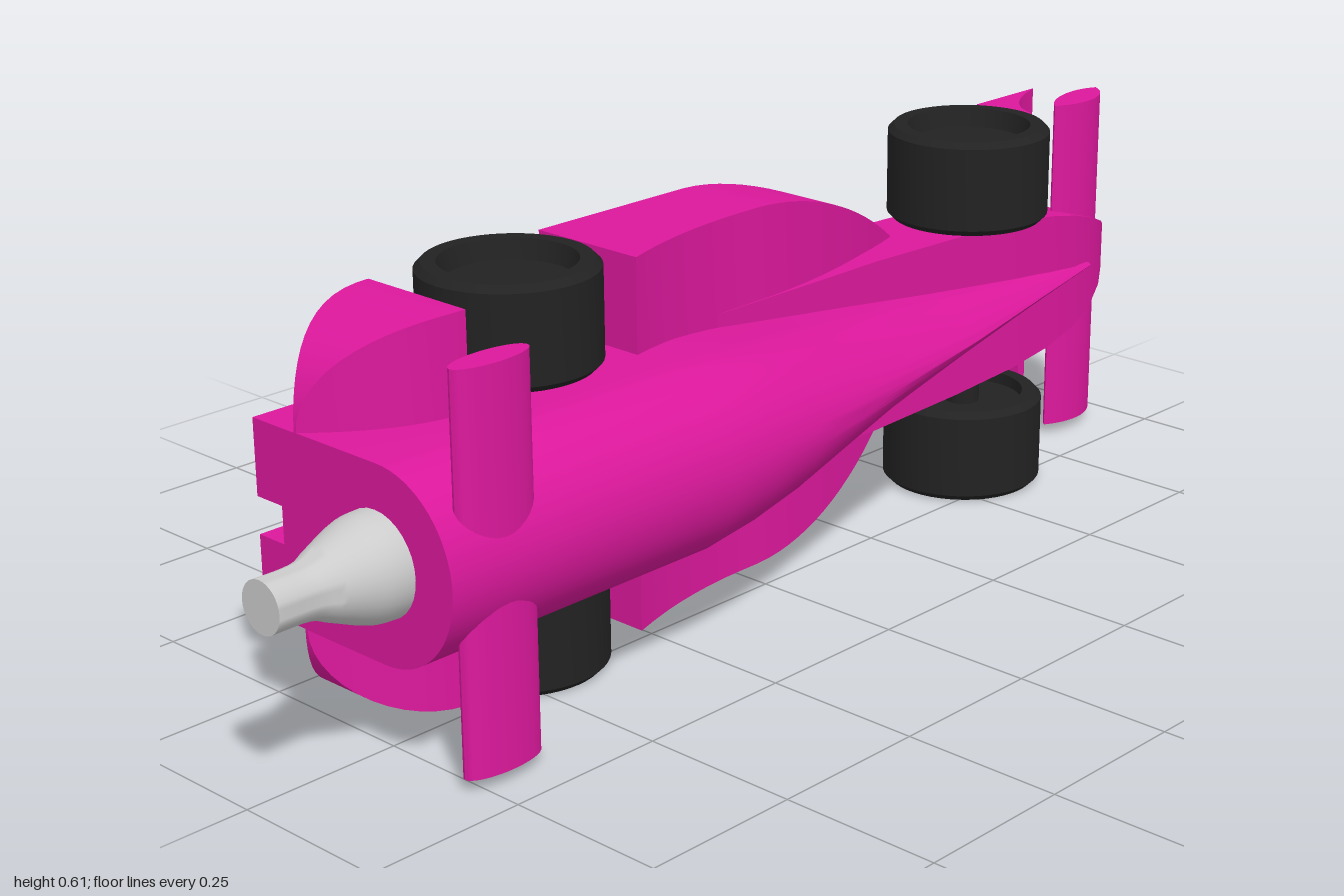
import * as THREE from 'three';
import { toCreasedNormals } from 'three/addons/utils/BufferGeometryUtils.js';

// The car lies on its side: length along x, its width along y, its roof towards +z.
const MID = 0.306;
const paint = new THREE.MeshStandardMaterial({ color: 0xdc189c });
const rubber = new THREE.MeshStandardMaterial({ color: 0x222222, side: THREE.DoubleSide });
const metal = new THREE.MeshStandardMaterial({ color: 0xcccccc, side: THREE.DoubleSide });

// Skin a solid over cross-sections { x, ring: [[w, h], ...] }, rings counter-clockwise seen from +x
function loft(sections, crease = 0.5) {
  const n = sections[0].ring.length, pos = [], idx = [];
  for (const { x, ring } of sections) for (const [w, h] of ring) pos.push(x, w, h);
  for (let i = 0; i < sections.length - 1; i++) {
    for (let j = 0; j < n; j++) {
      const k = (j + 1) % n, a = i * n + j, b = i * n + k;
      idx.push(a, b, b + n, a, b + n, a + n);
    }
  }
  const cap = (s) => THREE.ShapeUtils.triangulateShape(s.ring.map((p) => new THREE.Vector2(...p)), []);
  const last = (sections.length - 1) * n;
  for (const [a, b, c] of cap(sections[0])) idx.push(c, b, a);
  for (const [a, b, c] of cap(sections[sections.length - 1])) idx.push(last + a, last + b, last + c);
  const geo = new THREE.BufferGeometry();
  geo.setAttribute('position', new THREE.Float32BufferAttribute(pos, 3));
  geo.setIndex(idx);
  return toCreasedNormals(geo, crease);
}

// Flat-sided section reaching from inside the hull out to width w
function sideRing(side, w, lo, hi) {
  const a = Math.min(side * 0.1, side * w), b = Math.max(side * 0.1, side * w);
  return [[a, lo], [b, lo], [b, hi], [a, hi]];
}

// Wing of constant profile (x, h) spanning the full width
function wingGeometry(shape) {
  const geo = new THREE.ExtrudeGeometry(shape, { depth: 0.575, bevelEnabled: false, curveSegments: 16 });
  geo.rotateX(Math.PI / 2).translate(0, 0.2875, 0);
  return toCreasedNormals(geo, 0.5);
}

export function createModel() {
  const car = new THREE.Group();
  car.name = 'raceCar';
  const body = new THREE.Group();
  body.name = 'body';
  body.position.y = MID;
  car.add(body);
  const add = (name, geo, mat = paint) => {
    const mesh = new THREE.Mesh(geo, mat);
    mesh.name = name;
    body.add(mesh);
    return mesh;
  };

  // Lower hull with a groove along the floor: x, half width, deck height
  const hull = [
    [-0.81, 0.142, -0.033], [0.3, 0.142, -0.033], [0.5, 0.136, -0.033], [0.65, 0.128, -0.034],
    [0.75, 0.117, -0.037], [0.83, 0.1, -0.043], [0.9, 0.078, -0.058], [0.95, 0.058, -0.078],
    [0.985, 0.041, -0.1], [1.0, 0.03, -0.112],
  ];
  add('hull', loft(hull.map(([x, w, top]) => ({
    x,
    ring: [[-w, -0.19], [-0.028, -0.19], [-0.028, -0.137], [0.028, -0.137],
      [0.028, -0.19], [w, -0.19], [w, top], [-w, top]],
  }))));

  // Upper cowl, round at the back and sharpening to a ridge: x, half width, shoulder, top, roundness
  const cowl = [
    [-0.81, 0.1425, 0.065, 0.206, 2], [-0.28, 0.1425, 0.065, 0.206, 2], [-0.18, 0.135, 0.056, 0.197, 1.95],
    [-0.08, 0.123, 0.042, 0.182, 1.88], [0.05, 0.106, 0.022, 0.153, 1.7], [0.2, 0.087, 0.002, 0.117, 1.5],
    [0.42, 0.058, -0.018, 0.07, 1.3], [0.65, 0.03, -0.03, 0.012, 1.2], [0.88, 0.004, -0.05, -0.045, 1.2],
  ];
  add('cowl', loft(cowl.map(([x, w, s, t, e]) => {
    const ring = [[-w, -0.1], [w, -0.1]];
    for (let i = 0; i <= 32; i++) {
      const a = (i / 32) * Math.PI, c = Math.cos(a);
      ring.push([
        w * Math.sign(c) * Math.abs(c) ** (2 / e),
        s + (t - s) * Math.max(0, Math.sin(a)) ** (2 / e),
      ]);
    }
    return { x, ring };
  })));

  for (const side of [1, -1]) {
    const label = side > 0 ? 'Upper' : 'Lower';

    // Side pod: full width at the back, tapering to a tip in front
    const pod = [];
    for (let i = 0; i <= 8; i++) {
      const x = -0.28 + i * 0.0375, v = Math.max(0, 1 - i / 7);
      pod.push({ x, ring: sideRing(side, 0.288, -0.19, -0.035 + 0.045 * v * v) });
    }
    for (let i = 1; i <= 16; i++) {
      const u = i / 16;
      pod.push({
        x: 0.02 + 0.4 * u,
        ring: sideRing(side, 0.14 + 0.148 * (1 - u ** 1.8), -0.19 + 0.074 * u ** 1.7, -0.035 - 0.078 * u ** 1.9),
      });
    }
    add('sidePod' + label, loft(pod));

    // Rear fender behind the wheel, rounding in towards the tail
    const fender = [];
    for (let i = 0; i <= 14; i++) {
      const u = Math.sin((1 - i / 14) * Math.PI / 2);
      fender.push({
        x: -0.6 - 0.21 * u,
        ring: sideRing(side, 0.141 + 0.147 * Math.sqrt(1 - u ** 2.5), -0.19 + 0.088 * u * u, 0.01 - 0.108 * u * u),
      });
    }
    add('rearFender' + label, loft(fender));
  }

  // Rear wing
  const rear = new THREE.Shape();
  rear.absellipse(-0.707, 0.174, 0.067, 0.024, 0, Math.PI * 2);
  add('rearWing', wingGeometry(rear));

  // Front wing: lens-shaped leading blade and a concave wedge behind it
  const blade = new THREE.Shape();
  blade.moveTo(0.815, -0.085);
  blade.bezierCurveTo(0.85, -0.125, 0.93, -0.14, 0.97, -0.115);
  blade.bezierCurveTo(0.95, -0.075, 0.88, -0.045, 0.815, -0.085);
  add('frontWingBlade', wingGeometry(blade));
  const wedge = new THREE.Shape();
  wedge.moveTo(0.735, -0.19);
  wedge.lineTo(0.89, -0.19);
  wedge.quadraticCurveTo(0.77, -0.155, 0.75, -0.085);
  wedge.lineTo(0.735, -0.085);
  wedge.closePath();
  add('frontWingWedge', wingGeometry(wedge));

  // Exhaust nozzle
  const nozzle = new THREE.SplineCurve([[0.077, 0], [0.073, 0.045], [0.052, 0.1], [0.039, 0.135], [0.038, 0.2]]
    .map((p) => new THREE.Vector2(...p))).getPoints(20);
  const exhaust = add('exhaust', new THREE.LatheGeometry([...nozzle, new THREE.Vector2(0, 0.2)], 32), metal);
  exhaust.geometry = toCreasedNormals(exhaust.geometry, 0.6);
  exhaust.rotation.z = Math.PI / 2;
  exhaust.position.set(-0.8, 0, 0.058);

  // Wheels with dished faces, and their axles
  const tyre = toCreasedNormals(new THREE.LatheGeometry([
    [0, 0.02], [0.1, 0.02], [0.1, 0], [0.122, 0], [0.132, 0.01],
    [0.132, 0.145], [0.122, 0.155], [0.1, 0.155], [0.092, 0.125], [0, 0.125],
  ].map((p) => new THREE.Vector2(...p)), 48), 0.5);
  for (const [x, end] of [[-0.445, 'rear'], [0.57, 'front']]) {
    for (const side of [1, -1]) {
      const wheel = add(end + 'Wheel' + (side > 0 ? 'Upper' : 'Lower'), tyre, rubber);
      wheel.position.set(x, side * 0.151, -0.075);
      if (side < 0) wheel.rotation.x = Math.PI;
    }
    add(end + 'Axle', new THREE.CylinderGeometry(0.028, 0.028, 0.36, 24), rubber).position.set(x, 0, -0.075);
  }
  return car;
}
